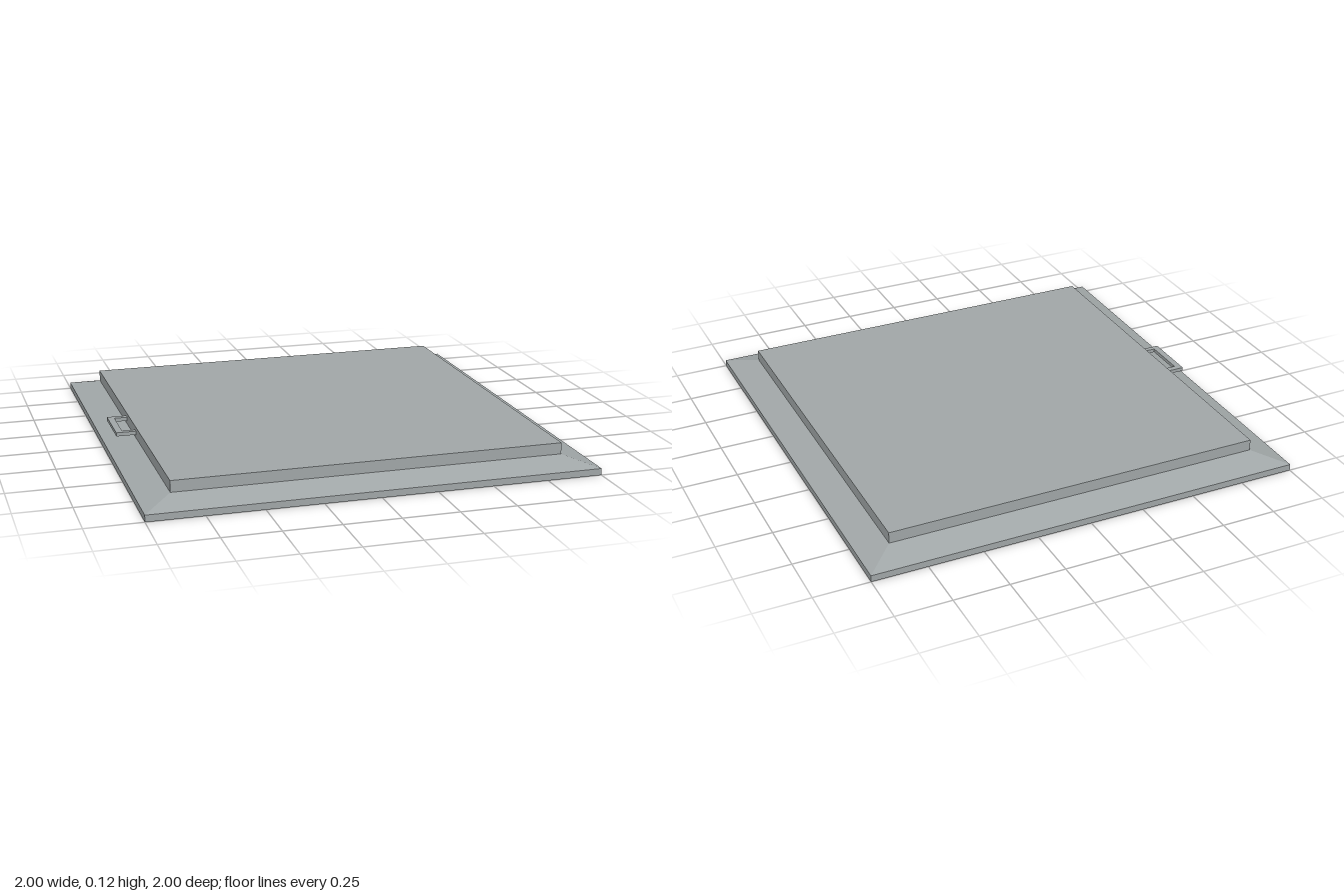
import * as THREE from 'three';

const material = new THREE.MeshStandardMaterial({ color: 0xa1a7a8, flatShading: true });

function addBox(parent, name, [x0, x1], [y0, y1], [z0, z1]) {
  const mesh = new THREE.Mesh(new THREE.BoxGeometry(x1 - x0, y1 - y0, z1 - z0), material);
  mesh.position.set((x0 + x1) / 2, (y0 + y1) / 2, (z0 + z1) / 2);
  mesh.name = name;
  parent.add(mesh);
  return mesh;
}

export function createModel() {
  const model = new THREE.Group();
  model.name = 'hatch';
  const inner = 0.868;

  // Square base plate
  addBox(model, 'basePlate', [-1, 1], [0, 0.03], [-1, 1]);

  // Sloped frame: a box whose top face is drawn inwards
  const frame = addBox(model, 'slopedFrame', [-1, 1], [0.03, 0.067], [-1, 1]);
  const pos = frame.geometry.attributes.position;
  for (let i = 0; i < pos.count; i++) {
    if (pos.getY(i) > 0) {
      pos.setX(i, pos.getX(i) * inner);
      pos.setZ(i, pos.getZ(i) * inner);
    }
  }
  frame.geometry.computeVertexNormals();

  // Raised lid
  addBox(model, 'lid', [-inner, inner], [0.067, 0.118], [-inner, inner]);

  // Pull handle on the right edge of the lid: a flat grip on two arms
  const handle = new THREE.Group();
  handle.name = 'handle';
  const height = [0.083, 0.1];
  addBox(handle, 'grip', [-0.957, -0.927], height, [-0.129, 0.119]);
  for (const [z0, z1] of [[-0.129, -0.101], [0.096, 0.119]]) {
    addBox(handle, 'handleArm', [-0.927, -inner], height, [z0, z1]);
  }
  model.add(handle);

  return model;
}
